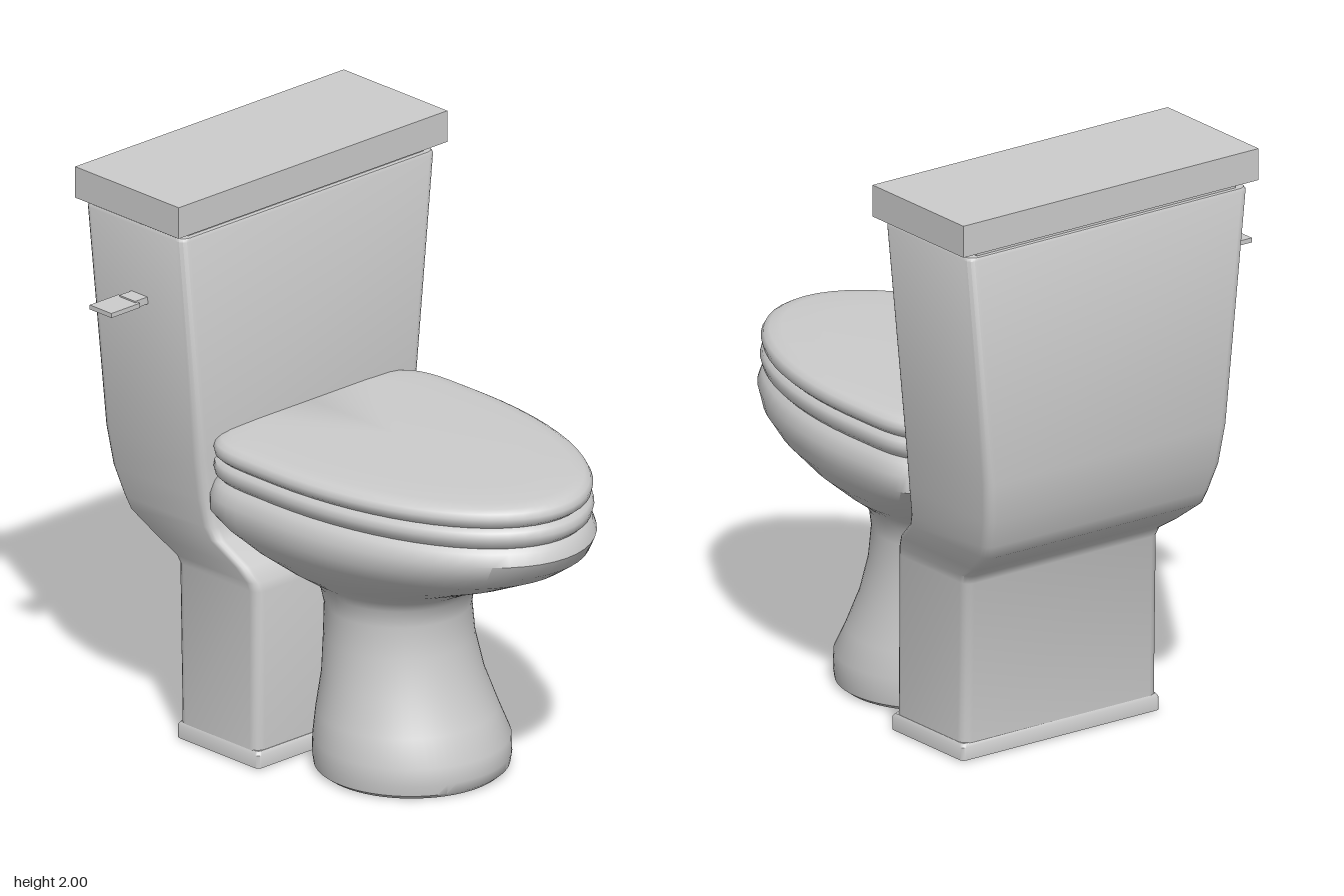
import * as THREE from 'three';
import { toCreasedNormals } from 'three/addons/utils/BufferGeometryUtils.js';

const ZC = -0.06; // the symmetry plane of the fixture
const material = new THREE.MeshStandardMaterial({ color: 0xcccccc });

// Skin a stack of closed rings (bottom to top) and cap both ends.
function loft(rings, crease = 0.7) {
  const n = rings[0].length, last = rings.length - 1;
  const pos = rings.flat(2), index = [];
  for (let r = 0; r < last; r++) {
    for (let i = 0; i < n; i++) {
      const a = r * n + i, b = r * n + (i + 1) % n;
      index.push(a, a + n, b, b, a + n, b + n);
    }
  }
  for (const [r, top] of [[0, false], [last, true]]) {
    const c = pos.length / 3;
    const mean = [0, 1, 2].map(k => rings[r].reduce((s, p) => s + p[k], 0) / n);
    pos.push(...mean);
    for (let i = 0; i < n; i++) {
      const a = r * n + i, b = r * n + (i + 1) % n;
      index.push(c, ...(top ? [b, a] : [a, b]));
    }
  }
  const g = new THREE.BufferGeometry();
  g.setAttribute('position', new THREE.Float32BufferAttribute(pos, 3));
  g.setIndex(index);
  return toCreasedNormals(g, crease);
}

// Egg outline: elliptical nose towards +x, squarer back with exponent n.
function eggRing([y, x0, x1, hz, xc, n], steps = 64) {
  const ring = [];
  for (let i = 0; i < steps; i++) {
    const t = (i / steps) * Math.PI * 2, c = Math.cos(t), s = Math.sin(t);
    const e = c > 0 ? 1 : 2 / n;
    const u = Math.sign(c) * Math.abs(c) ** e, v = Math.sign(s) * Math.abs(s) ** e;
    ring.push([xc + u * (c > 0 ? x1 - xc : xc - x0), y, ZC + v * hz]);
  }
  return ring;
}

// Rectangle with rounded corners.
function rectRing([y, x0, x1, z0, z1, r = 0.035], seg = 4) {
  const ring = [];
  const corners = [[x1 - r, z1 - r], [x0 + r, z1 - r], [x0 + r, z0 + r], [x1 - r, z0 + r]];
  corners.forEach(([cx, cz], k) => {
    for (let i = 0; i <= seg; i++) {
      const t = (k + i / seg) * Math.PI / 2;
      ring.push([cx + r * Math.cos(t), y, cz + r * Math.sin(t)]);
    }
  });
  return ring;
}

export function createModel() {
  const group = new THREE.Group();
  const add = (name, geometry) => {
    const mesh = new THREE.Mesh(geometry, material);
    mesh.name = name;
    group.add(mesh);
    return mesh;
  };
  const box = (name, x0, x1, y0, y1, z0, z1) =>
    add(name, new THREE.BoxGeometry(x1 - x0, y1 - y0, z1 - z0))
      .position.set((x0 + x1) / 2, (y0 + y1) / 2, (z0 + z1) / 2);

  // Rear column sweeping back into the flared tank: y, x0, x1, z0, z1
  add('tank', loft([
    [0.06, -0.575, -0.2, -0.455, 0.345],
    [0.62, -0.588, -0.203, -0.455, 0.343],
    [0.65, -0.6, -0.21, -0.46, 0.35],
    [0.7, -0.675, -0.245, -0.48, 0.368],
    [0.775, -0.77, -0.335, -0.51, 0.395],
    [0.82, -0.788, -0.358, -0.523, 0.405],
    [0.92, -0.822, -0.368, -0.54, 0.422],
    [1.06, -0.84, -0.372, -0.555, 0.438],
    [1.86, -0.842, -0.37, -0.633, 0.52],
    [1.87, -0.837, -0.375, -0.628, 0.515],
  ].map(r => rectRing(r))));

  // Column foot plate
  add('footPlate', loft([
    [0.005, -0.58, -0.19, -0.464, 0.35, 0.015],
    [0.05, -0.58, -0.19, -0.464, 0.35, 0.015],
    [0.062, -0.572, -0.198, -0.456, 0.342, 0.015],
  ].map(r => rectRing(r))));

  // Tank neck and lid
  box('tankNeck', -0.822, -0.392, 1.86, 1.9, -0.59, 0.475);
  box('tankLid', -0.852, -0.36, 1.89, 2, -0.668, 0.548);

  // Flush handle
  box('handleStem', -0.64, -0.565, 1.583, 1.608, 0.47, 0.55);
  box('handleLever', -0.655, -0.552, 1.587, 1.603, 0.54, 0.67);

  // Pedestal flaring into the bowl: y, x0, x1, half width, widest x, back exponent
  add('bowl', loft([
    [0, -0.19, 0.415, 0.305, 0.11, 2],
    [0.015, -0.21, 0.432, 0.325, 0.11, 2],
    [0.05, -0.215, 0.438, 0.33, 0.11, 2],
    [0.11, -0.215, 0.435, 0.328, 0.11, 2],
    [0.2, -0.21, 0.385, 0.305, 0.09, 2],
    [0.32, -0.2, 0.335, 0.27, 0.07, 2],
    [0.45, -0.2, 0.3, 0.25, 0.05, 2],
    [0.56, -0.2, 0.288, 0.243, 0.045, 2],
    [0.62, -0.21, 0.3, 0.25, 0.04, 2.1],
    [0.655, -0.23, 0.33, 0.272, 0.03, 2.2],
    [0.71, -0.29, 0.435, 0.35, 0, 2.5],
    [0.775, -0.37, 0.6, 0.425, -0.02, 3],
    [0.84, -0.41, 0.742, 0.478, -0.04, 4],
    [0.89, -0.44, 0.815, 0.5, -0.05, 5],
    [0.945, -0.44, 0.846, 0.502, -0.05, 5],
    [0.985, -0.43, 0.832, 0.485, -0.05, 5],
    [1.0, -0.42, 0.815, 0.468, -0.05, 5],
  ].map(r => eggRing(r))));

  // Seat ring, closed under the cover
  add('seat', loft([
    [0.998, -0.42, 0.812, 0.466, -0.05, 5],
    [1.015, -0.43, 0.832, 0.483, -0.05, 5],
    [1.04, -0.43, 0.838, 0.492, -0.05, 5],
    [1.06, -0.43, 0.83, 0.487, -0.05, 5],
    [1.074, -0.42, 0.808, 0.47, -0.05, 5],
  ].map(r => eggRing(r))));

  // Softly domed cover
  add('seatCover', loft([
    [1.07, -0.42, 0.808, 0.468, -0.05, 5],
    [1.085, -0.43, 0.828, 0.485, -0.05, 5],
    [1.108, -0.43, 0.832, 0.492, -0.05, 5],
    [1.125, -0.43, 0.822, 0.483, -0.05, 5],
    [1.136, -0.42, 0.802, 0.464, -0.05, 5],
    [1.142, -0.41, 0.76, 0.425, -0.05, 5],
    [1.145, -0.4, 0.6, 0.3, -0.05, 5],
  ].map(r => eggRing(r)), 0.9));

  return group;
}
